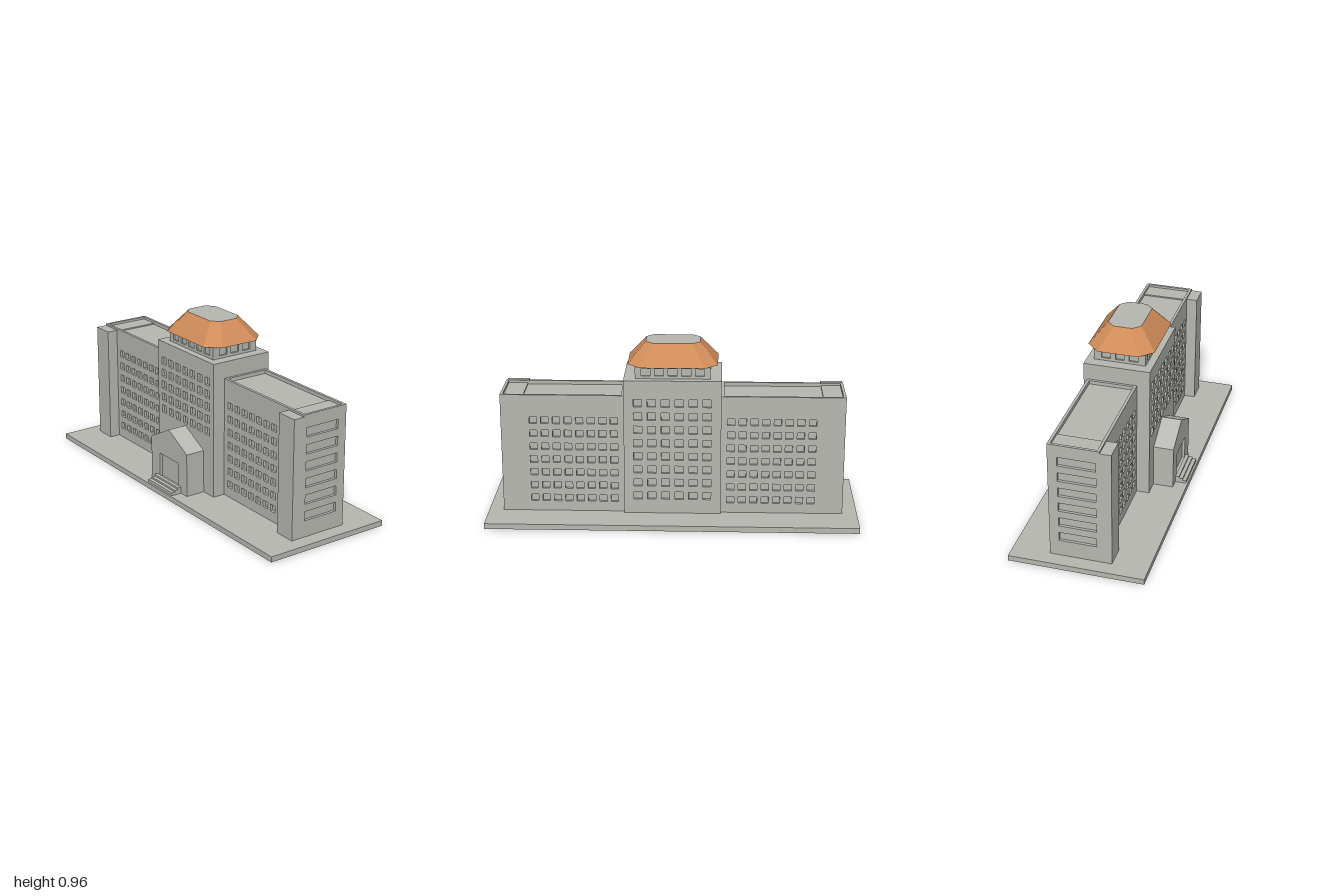
import * as THREE from 'three';

const stone = new THREE.MeshStandardMaterial({ color: 0xb8b8b2 });
stone.name = 'grey stone';
const tile = new THREE.MeshStandardMaterial({ color: 0xd08c5a });
tile.name = 'orange roof';

const D = 0.015; // wall panel thickness and window recess
const GROUND = 0.03;

// Box given by its limits on each axis
function block(parent, name, x0, x1, y0, y1, z0, z1) {
  const m = new THREE.Mesh(new THREE.BoxGeometry(Math.abs(x1 - x0), y1 - y0, z1 - z0), stone);
  m.position.set((x0 + x1) / 2, (y0 + y1) / 2, (z0 + z1) / 2);
  m.name = name;
  parent.add(m);
}

const polygon = pts => new THREE.Shape(pts.map(p => new THREE.Vector2(...p)));
const rect = (x0, y0, x1, y1) => [[x0, y0], [x1, y0], [x1, y1], [x0, y1]];

// Window openings: columns centred on cx, rows rising from sill y0
function windows(cx, cols, pitchX, w, y0, rows, pitchY, h) {
  const out = [];
  for (let r = 0; r < rows; r++) {
    for (let c = 0; c < cols; c++) {
      const x = cx + (c - (cols - 1) / 2) * pitchX, y = y0 + r * pitchY;
      out.push(rect(x - w / 2, y, x + w / 2, y + h));
    }
  }
  return out;
}

// Pierced wall slab, facing +z before it is turned about y
function wall(parent, name, outline, holes, depth, position, turn = 0) {
  const shape = polygon(outline);
  holes.forEach(h => shape.holes.push(new THREE.Path(h.map(p => new THREE.Vector2(...p)).reverse())));
  const m = new THREE.Mesh(new THREE.ExtrudeGeometry(shape, { depth, bevelEnabled: false }), stone);
  m.position.set(...position);
  m.rotation.y = turn;
  m.name = name;
  parent.add(m);
}

// One wing; s is +1 or -1 for the side
function wing(s) {
  const g = new THREE.Group();
  g.name = s > 0 ? 'leftWing' : 'rightWing';
  const out = 0.92 - D;
  const b = (name, x0, x1, ...rest) => block(g, name, s * x0, s * x1, ...rest);
  b('wingCore', 0.26, out, GROUND, 0.67, -0.16 + D, 0.11 - D);
  b('raisedRoof', 0.80, out, 0.67, 0.677, -0.16 + D, 0.11 - D);
  b('innerParapet', 0.26, 0.26 + D, 0.67, 0.69, -0.16 + D, 0.11 - D);
  b('frontParapet', 0.80, out, 0.67, 0.69, 0.11 - D, 0.11);
  b('endTower', 0.80, out, GROUND, 0.68, 0.11, 0.17);
  b('towerBacking', 0.80, out, GROUND, 0.67, 0.11 - D, 0.11);
  b('backCorner', 0.80, out, GROUND, 0.69, -0.16, -0.16 + D);

  const holes = windows(0, 8, 0.062, 0.04, 0.085, 7, 0.074, 0.038);
  const face = rect(-0.27, GROUND, 0.27, 0.69);
  wall(g, 'frontWall', face, holes, D, [s * 0.53, 0, 0.11 - D]);
  wall(g, 'backWall', face, holes, D, [s * 0.53, 0, -0.16 + D], Math.PI);

  // End wall drawn in (z, y), stepping down over the tower
  const u = pts => pts.map(([z, y]) => [-s * z, y]);
  const end = u([[-0.16, GROUND], [0.17, GROUND], [0.17, 0.68], [0.11, 0.68], [0.11, 0.69], [-0.16, 0.69]]);
  const slots = windows(-0.01, 1, 0, 0.2, 0.12, 6, 0.09, 0.05).map(u);
  wall(g, 'endWall', end, slots, D, [s * out, 0, 0], s * Math.PI / 2);
  return g;
}

// Chamfered rectangle, counter-clockwise seen from above
function octagon(x, z, cx, cz, y) {
  return [[x, cz], [x, -cz], [cx, -z], [-cx, -z], [-x, -cz], [-x, cz], [-cx, z], [cx, z]]
    .map(([a, b]) => [a, y, b]);
}

function faces(parent, name, triangles, material) {
  const geo = new THREE.BufferGeometry();
  geo.setAttribute('position', new THREE.Float32BufferAttribute(triangles.flat(2), 3));
  geo.computeVertexNormals();
  const m = new THREE.Mesh(geo, material);
  m.name = name;
  parent.add(m);
}

function hippedRoof() {
  const g = new THREE.Group();
  g.name = 'hippedRoof';
  const low = octagon(0.24, 0.18, 0.17, 0.11, 0.85);
  const top = octagon(0.145, 0.09, 0.105, 0.05, 0.96);
  const slopes = [], cap = [], soffit = [];
  for (let i = 0; i < 8; i++) {
    const j = (i + 1) % 8;
    slopes.push([low[i], low[j], top[j]], [low[i], top[j], top[i]]);
    cap.push([[0, 0.96, 0], top[i], top[j]]);
    soffit.push([[0, 0.85, 0], low[j], low[i]]);
  }
  faces(g, 'roofSlopes', slopes, tile);
  faces(g, 'roofSoffit', soffit, tile);
  faces(g, 'roofCap', cap, stone);
  return g;
}

function centralBlock() {
  const g = new THREE.Group();
  g.name = 'centralBlock';
  block(g, 'centralCore', -0.26, 0.26, GROUND, 0.78, -0.18 + D, 0.18 - D);
  const face = rect(-0.26, GROUND, 0.26, 0.78);
  wall(g, 'centralFront', face, windows(0, 7, 0.068, 0.042, 0.37, 5, 0.07, 0.042), D, [0, 0, 0.18 - D]);
  wall(g, 'centralBack', face, windows(0, 6, 0.074, 0.045, 0.11, 8, 0.075, 0.042), D, [0, 0, -0.18 + D], Math.PI);

  // Lantern storey under the roof, windows on all four sides
  const e = 0.01;
  block(g, 'lanternCore', -0.2 + e, 0.2 - e, 0.78, 0.85, -0.14 + e, 0.14 - e);
  for (const s of [1, -1]) {
    wall(g, 'lanternWall', rect(-0.2, 0.78, 0.2, 0.85), windows(0, 5, 0.072, 0.048, 0.795, 1, 0, 0.04), e,
      [0, 0, s * (0.14 - e)], s > 0 ? 0 : Math.PI);
    wall(g, 'lanternSide', rect(-0.14 + e, 0.78, 0.14 - e, 0.85), windows(0, 3, 0.075, 0.048, 0.795, 1, 0, 0.04), e,
      [s * (0.2 - e), 0, 0], s * Math.PI / 2);
  }
  return g;
}

function porch() {
  const g = new THREE.Group();
  g.name = 'porch';
  const gable = [[-0.17, GROUND], [0.17, GROUND], [0.17, 0.27], [0, 0.36], [-0.17, 0.27]];
  wall(g, 'porchBody', gable, [], 0.095, [0, 0, 0.18]);
  wall(g, 'porchFront', gable, [rect(-0.088, 0.06, 0.088, 0.195)], D, [0, 0, 0.275]);
  // Three entrance steps
  for (let i = 0; i < 3; i++) {
    block(g, 'step', -0.115, 0.115, GROUND, 0.066 - i * 0.01, 0.29 + i * 0.02, 0.31 + i * 0.02);
  }
  return g;
}

export function createModel() {
  const model = new THREE.Group();
  model.name = 'building';
  block(model, 'basePlate', -1, 1, 0, GROUND, -0.36, 0.36);
  model.add(wing(1), wing(-1), centralBlock(), hippedRoof(), porch());
  return model;
}
